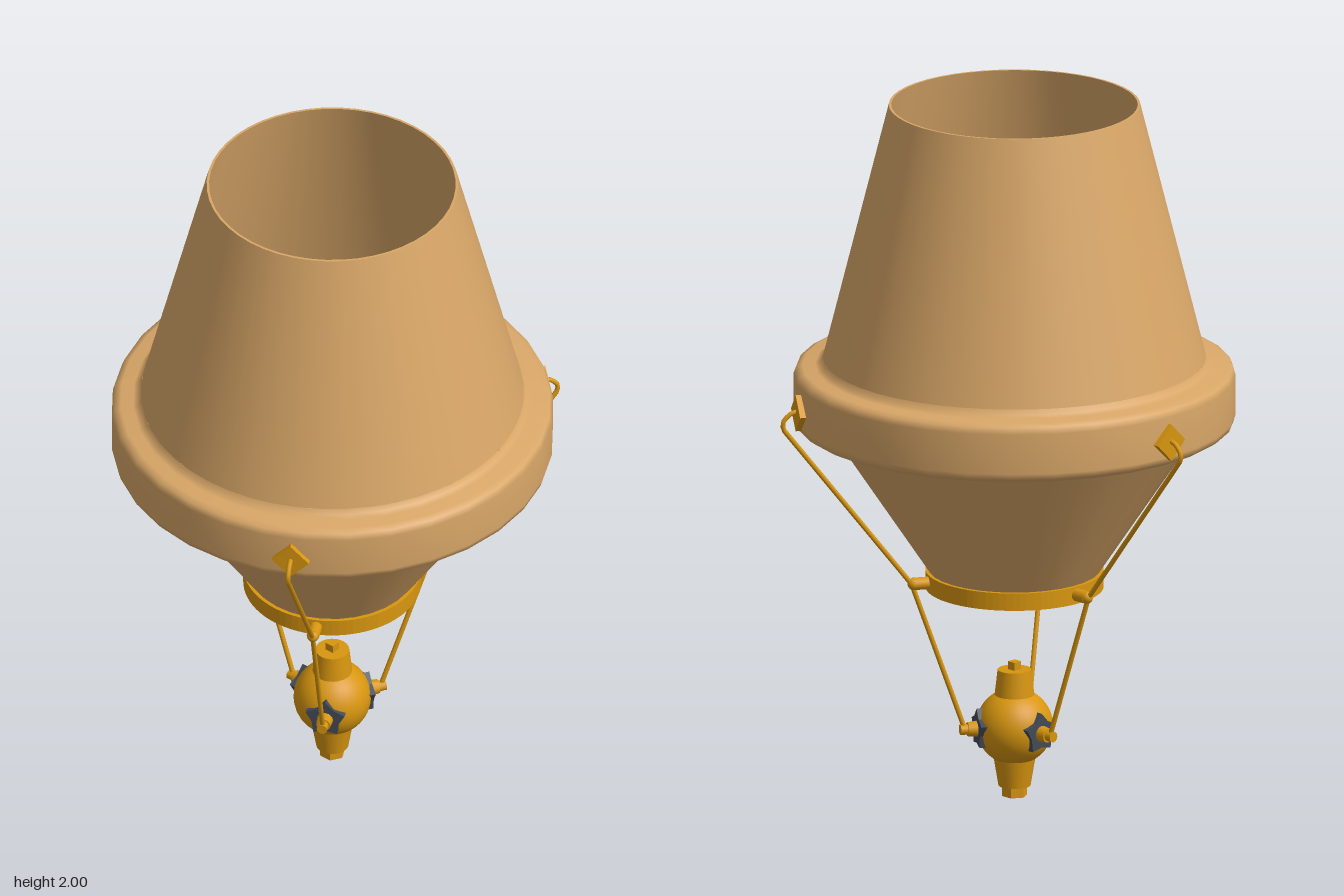
import * as THREE from 'three';

const tan = new THREE.MeshStandardMaterial({ name: 'tan shell', color: 0xd9a768, side: THREE.DoubleSide });
const gold = new THREE.MeshStandardMaterial({ name: 'gold metal', color: 0xd8960f });
const slate = new THREE.MeshStandardMaterial({ name: 'slate collar', color: 0x434a56 });

function add(parent, name, geometry, material, x = 0, y = 0, z = 0) {
  const mesh = new THREE.Mesh(geometry, material);
  mesh.name = name;
  mesh.position.set(x, y, z);
  parent.add(mesh);
  return mesh;
}

// profile is a list of [radius, height]
const lathe = (profile, sides = 32) =>
  new THREE.LatheGeometry(profile.map(([r, y]) => new THREE.Vector2(r, y)), sides);

// cylinder lying along the local z axis, from z0 to z1
const peg = (r0, r1, z0, z1, sides = 12) =>
  new THREE.CylinderGeometry(r1, r0, z1 - z0, sides).rotateX(Math.PI / 2).translate(0, 0, (z0 + z1) / 2);

function starGeometry(outer, inner, depth) {
  const shape = new THREE.Shape();
  for (let i = 0; i < 10; i++) {
    const r = i % 2 ? inner : outer;
    const a = Math.PI / 2 + (i * Math.PI) / 5;
    shape[i ? 'lineTo' : 'moveTo'](r * Math.cos(a), r * Math.sin(a));
  }
  shape.closePath();
  return new THREE.ExtrudeGeometry(shape, { depth, bevelEnabled: false });
}

// one support: rim plate, bent rod, ring clamp and pivot; local +z points outward
function createSupport() {
  const g = new THREE.Group();
  g.name = 'support';
  const plate = add(g, 'rimPlate', new THREE.BoxGeometry(0.074, 0.074, 0.018), gold, 0, 1.15, 0.619);
  plate.rotation.z = Math.PI / 4;

  const path = new THREE.CurvePath();
  const points = [[1.155, 0.615], [1.15, 0.64], [1.125, 0.664], [1.105, 0.663], [0.632, 0.295], [0.2, 0.142]]
    .map(([y, z]) => new THREE.Vector3(0, y, z));
  path.add(new THREE.CatmullRomCurve3(points.slice(0, 4)));
  path.add(new THREE.LineCurve3(points[3], points[4]));
  path.add(new THREE.LineCurve3(points[4], points[5]));
  add(g, 'rod', new THREE.TubeGeometry(path, 80, 0.007, 8), gold);

  add(g, 'ringClamp', peg(0.018, 0.018, 0.24, 0.29), gold, 0, 0.632);
  add(g, 'clampTip', new THREE.SphereGeometry(0.017, 12, 8), gold, 0, 0.632, 0.29);

  add(g, 'starCollar', starGeometry(0.058, 0.04, 0.026), slate, 0, 0.2, 0.083);
  add(g, 'pivotBoss', peg(0.024, 0.02, 0.1, 0.135), gold, 0, 0.2);
  add(g, 'pivotTip', peg(0.015, 0.015, 0.13, 0.156), gold, 0, 0.2);
  return g;
}

export function createModel() {
  const model = new THREE.Group();
  model.name = 'suspendedFunnel';
  const body = new THREE.Group();
  body.name = 'body';
  body.position.z = 0.027;
  model.add(body);

  // hollow shell: lower cone, rounded rim band and upper cone
  add(body, 'lowerCone', lathe([[0.228, 0.64], [0.52, 1.08]]), tan);
  add(body, 'rimUnderside', lathe([[0.52, 1.08], [0.595, 1.078]]), tan);
  add(body, 'rimBand', lathe([[0.595, 1.078], [0.61, 1.088], [0.615, 1.105], [0.615, 1.22], [0.608, 1.238],
    [0.59, 1.246], [0.555, 1.248], [0.541, 1.255], [0.533, 1.27]]), tan);
  add(body, 'upperCone', lathe([[0.533, 1.27], [0.35, 2]], 48), tan);
  add(body, 'topLip', lathe([[0.35, 2], [0.343, 2]], 48), tan);

  // ring around the lower opening
  const ring = new THREE.Shape().absarc(0, 0, 0.248, 0, Math.PI * 2);
  ring.holes.push(new THREE.Path().absarc(0, 0, 0.216, 0, Math.PI * 2, true));
  add(body, 'lowerRing', new THREE.ExtrudeGeometry(ring, { depth: 0.05, bevelEnabled: false, curveSegments: 40 })
    .rotateX(-Math.PI / 2), gold, 0, 0.605);

  // hanging ball with upper and lower necks
  const ball = new THREE.Group();
  ball.name = 'burner';
  body.add(ball);
  add(ball, 'ball', new THREE.SphereGeometry(0.108, 32, 20), gold, 0, 0.2);
  add(ball, 'upperNeck', new THREE.CylinderGeometry(0.047, 0.059, 0.105, 24), gold, 0, 0.3125);
  add(ball, 'topStud', new THREE.BoxGeometry(0.026, 0.03, 0.026), gold, 0, 0.373);
  add(ball, 'lowerNeck', new THREE.CylinderGeometry(0.06, 0.045, 0.09, 24), gold, 0, 0.075);
  const nut = add(ball, 'bottomNut', new THREE.CylinderGeometry(0.036, 0.036, 0.036, 6).toNonIndexed(), gold, 0, 0.018);
  nut.geometry.computeVertexNormals();

  // three supports spaced evenly, one at the back
  for (const angle of [Math.PI, Math.PI / 3, -Math.PI / 3]) {
    const support = createSupport();
    support.rotation.y = angle;
    body.add(support);
  }
  return model;
}
